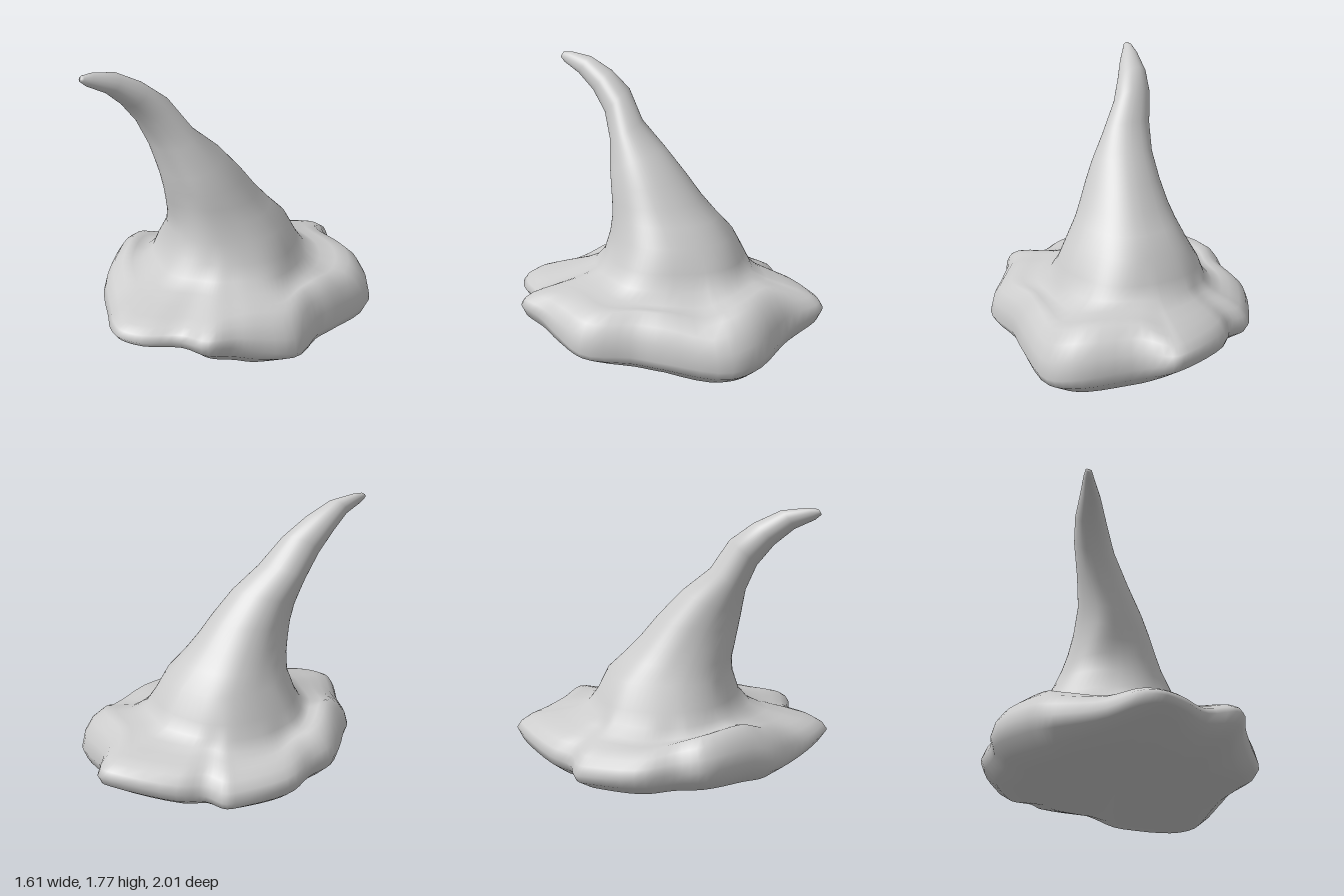
import * as THREE from 'three';

const N = 96;

// Brim rim, walked from the left side towards the front: x, z, rim height, crest height, underside height
const RIM = [
  [0.78, -0.1, 0.13, 0.39, 0.03], [0.75, 0.1, 0.14, 0.39, 0.04], [0.77, 0.4, 0.15, 0.38, 0.07],
  [0.62, 0.6, 0.21, 0.40, 0.08], [0.52, 0.72, 0.26, 0.40, 0.12], [0.42, 0.87, 0.30, 0.39, 0.17],
  [0.22, 0.85, 0.27, 0.36, 0.17], [0.02, 0.97, 0.26, 0.36, 0.19], [-0.12, 1.0, 0.27, 0.36, 0.20],
  [-0.22, 0.95, 0.27, 0.37, 0.18], [-0.38, 0.78, 0.23, 0.37, 0.14], [-0.6, 0.55, 0.25, 0.44, 0.12],
  [-0.68, 0.38, 0.29, 0.49, 0.13], [-0.8, 0.08, 0.29, 0.47, 0.14], [-0.76, -0.1, 0.27, 0.42, 0.13],
  [-0.76, -0.32, 0.25, 0.38, 0.12], [-0.6, -0.6, 0.22, 0.36, 0.11], [-0.53, -0.68, 0.21, 0.36, 0.11],
  [-0.39, -0.7, 0.22, 0.37, 0.11], [-0.27, -0.82, 0.24, 0.37, 0.12], [0.1, -1, 0.29, 0.39, 0.16],
  [0.2, -1, 0.28, 0.39, 0.15], [0.35, -0.83, 0.21, 0.43, 0.05], [0.68, -0.67, 0.15, 0.42, 0.01],
  [0.8, -0.5, 0.11, 0.37, 0],
];

// Crown sections: min x, max x, front z, front y, back z, back y
const CROWN = [
  [-0.48, 0.43, 0.41, 0.56, -0.50, 0.55], [-0.40, 0.36, 0.375, 0.69, -0.43, 0.69],
  [-0.36, 0.28, 0.37, 0.80, -0.32, 0.80], [-0.335, 0.22, 0.38, 0.89, -0.22, 0.91],
  [-0.32, 0.16, 0.39, 0.98, -0.11, 1.05], [-0.325, 0.08, 0.40, 1.08, 0.04, 1.22],
  [-0.37, -0.04, 0.41, 1.25, 0.20, 1.37], [-0.42, -0.16, 0.46, 1.41, 0.30, 1.56],
  [-0.455, -0.25, 0.55, 1.54, 0.43, 1.67], [-0.47, -0.34, 0.66, 1.64, 0.58, 1.75],
  [-0.495, -0.43, 0.77, 1.70, 0.72, 1.77], [-0.50, -0.46, 0.80, 1.73, 0.78, 1.765],
  [-0.48, -0.48, 0.795, 1.745, 0.795, 1.745],
];

const sample = (f) => {
  const curve = new THREE.CatmullRomCurve3(RIM.map(f), true, 'centripetal');
  return Array.from({ length: N }, (_, j) => curve.getPoint(j / N));
};
const rim = sample(([x, z, y]) => new THREE.Vector3(x, y, z));
// y: crest height, z: underside height
const heights = sample(([, , , top, low], i) => new THREE.Vector3(i * 0.1, top, low));
const angles = rim.map((p) => Math.atan2(p.z, p.x));

const bump = (a, centre, width) => Math.exp(-(((a - centre) / width) ** 2));

// Slanted oval with a ridge on the front right and a hollow beside it, strongest at mid height
function crownRing([x0, x1, zf, yf, zb, yb], k) {
  return angles.map((a) => {
    const r = 1 + bump(k, 4, 2.5) * (0.09 * bump(a, 2.2, 0.35) - 0.07 * bump(a, 1.5, 0.35))
      + 0.02 * Math.sin(5 * a + 0.25 * k) * Math.max(0, 1 - k / 8);
    const c = Math.cos(a) * r, s = Math.sin(a) * r;
    return new THREE.Vector3(
      (x0 + x1) / 2 + c * (x1 - x0) / 2,
      (yf + yb) / 2 + s * (yf - yb) / 2,
      (zf + zb) / 2 + s * (zf - zb) / 2);
  });
}

// Ring following the rim at a fraction of its radius
const brimRing = (f, height) =>
  rim.map((p, j) => new THREE.Vector3(p.x * f, height(p, heights[j]), p.z * f));

// Skin closed rings, ordered from the underside outwards and then up
function loft(name, rings) {
  const pos = [], index = [];
  rings.forEach((ring) => ring.forEach((p) => pos.push(p.x, p.y, p.z)));
  for (let i = 0; i < rings.length - 1; i++) {
    for (let j = 0; j < N; j++) {
      const a = i * N + j, b = i * N + (j + 1) % N;
      index.push(a, a + N, b, b, a + N, b + N);
    }
  }
  const geo = new THREE.BufferGeometry();
  geo.setAttribute('position', new THREE.Float32BufferAttribute(pos, 3));
  geo.setIndex(index);
  geo.computeVertexNormals();
  const mesh = new THREE.Mesh(geo, new THREE.MeshStandardMaterial({ color: 0xcccccc }));
  mesh.name = name;
  return mesh;
}

export function createModel() {
  const group = new THREE.Group();
  group.name = 'floppyPointedHat';

  const crown = CROWN.map(crownRing);
  const crest = brimRing(0.84, (p, h) => h.y);
  // Flare from the crown's foot out to the brim's crest, with a deeper fold on both sides
  const flare = (t, sag, fold) => crown[0].map((p, j) => {
    const v = p.clone().lerp(crest[j], t);
    v.y -= sag + fold * Math.cos(angles[j]) ** 4;
    return v;
  });

  // Brim and crown are one continuous cloth
  group.add(loft('hatCloth', [
    brimRing(0, () => 0.04),
    brimRing(0.45, (p, h) => 0.03 + h.z * 0.25),
    brimRing(0.72, (p, h) => 0.01 + h.z * 0.62),
    brimRing(0.88, (p, h) => h.z),
    brimRing(0.97, (p, h) => h.z * 0.5 + p.y * 0.5),
    rim,
    brimRing(0.975, (p, h) => p.y * 0.6 + h.y * 0.4),
    brimRing(0.92, (p, h) => p.y * 0.25 + h.y * 0.75),
    crest,
    flare(0.75, 0.02, 0.025),
    flare(0.45, 0.045, 0.045),
    flare(0.18, 0.05, 0.02),
    ...crown,
  ]));
  return group;
}
